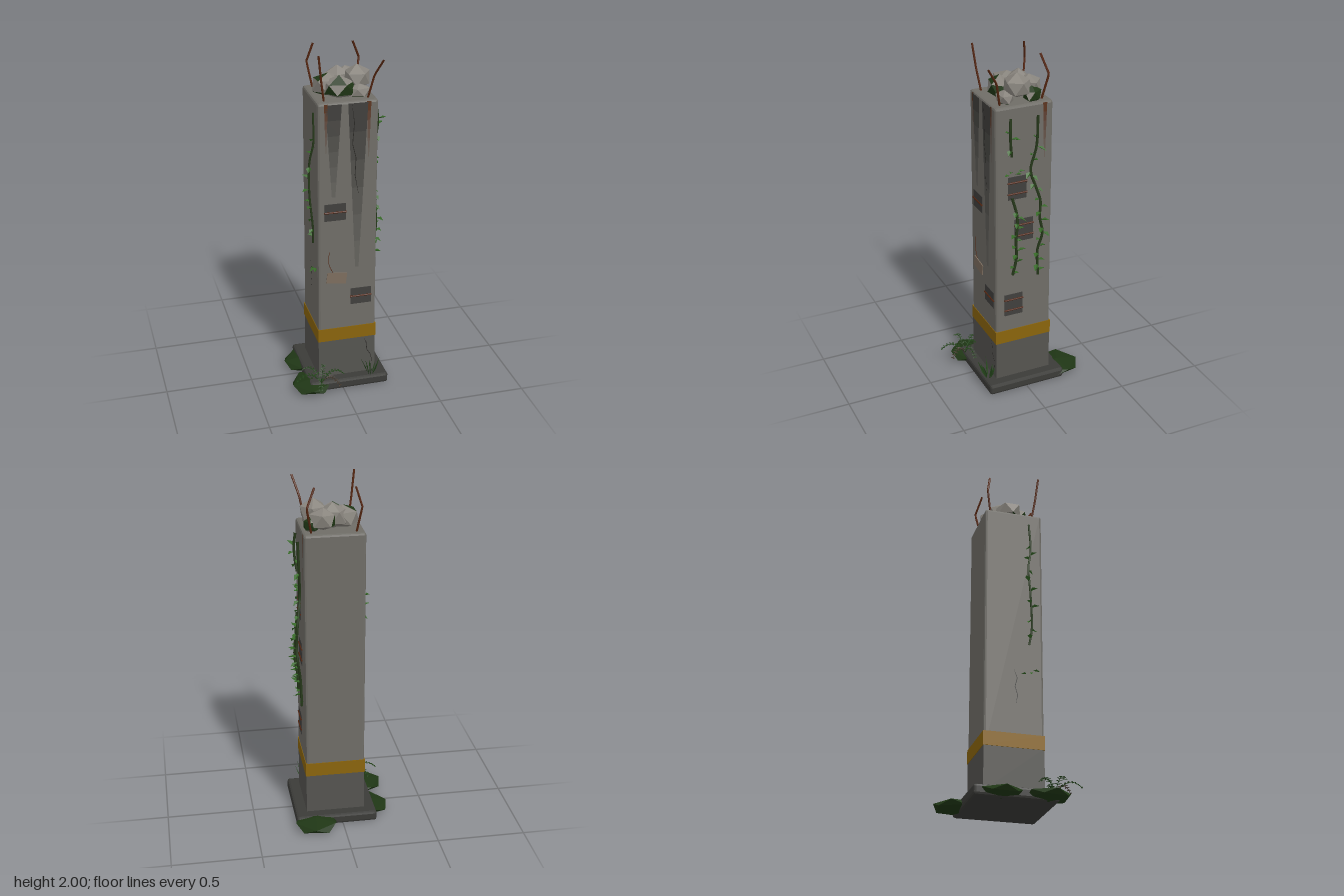
import * as THREE from 'three';
import { mergeGeometries } from 'three/addons/utils/BufferGeometryUtils.js';
import { RoundedBoxGeometry } from 'three/addons/geometries/RoundedBoxGeometry.js';

const V = (x, y, z) => new THREE.Vector3(x, y, z);
const mat = (color, flatShading = true, side = THREE.FrontSide) =>
  new THREE.MeshStandardMaterial({ color, flatShading, side });
const thin = (color) => mat(color, false, THREE.DoubleSide);

const concrete = mat(0x6f6d67), concreteDark = mat(0x555450), slab = mat(0x3b3b38);
const yellow = mat(0x8a640c), rust = mat(0x552611), recess = mat(0x403f3d);
const moss = mat(0x1f3615), stone = mat(0x88847d), crackDark = thin(0x282724);
const stem = mat(0x26381a, false), leafGreen = thin(0x356826);
const fernGreen = thin(0x23431a), fernDry = thin(0x40352a), paper = mat(0x7c6d5e);
const soot = 0x403f3c, rustStain = 0x5c3520;

const CX = 0.035, HALF = 0.168; // shaft centre and half width

let seed = 7;
const rnd = () => (seed = (seed * 16807) % 2147483647) / 2147483647;
const spread = (a) => (rnd() * 2 - 1) * a;

export function createModel() {
  const root = new THREE.Group();
  const add = (name, geo, material, x = 0, y = 0, z = 0, parent = root) => {
    const m = new THREE.Mesh(geo, material);
    m.name = name;
    m.position.set(x, y, z);
    parent.add(m);
    return m;
  };
  const tube = (pts, r, seg = 20, sides = 6) =>
    new THREE.TubeGeometry(new THREE.CatmullRomCurve3(pts), seg, r, sides);

  // Groups whose local +z points out of one face of the shaft
  const face = (name, angle) => {
    const g = new THREE.Group();
    g.name = name;
    g.position.x = CX;
    g.rotation.y = angle;
    root.add(g);
    return g;
  };
  const front = face('frontFace', 0), left = face('leftFace', Math.PI / 2), right = face('rightFace', -Math.PI / 2);

  // Slab, foot, shaft and painted band
  add('baseSlab', new RoundedBoxGeometry(0.467, 0.06, 0.467, 1, 0.014), slab, 0.035, 0.036, -0.001);
  add('shaftFoot', new THREE.BoxGeometry(HALF * 2, 0.26, HALF * 2), concreteDark, CX, 0.18, 0);
  add('shaft', new RoundedBoxGeometry(HALF * 2, 1.44, HALF * 2, 1, 0.013), concrete, CX, 1.02, 0);
  add('paintedBand', new THREE.BoxGeometry(0.342, 0.08, 0.342), yellow, CX, 0.34, 0);

  // Tapering stains that fade into the concrete towards the bottom
  const stain = (parent, color, x, w, tipW, top, bottom) => {
    const steps = 6, row = (i) => {
      const t = i / steps;
      return [THREE.MathUtils.lerp(w, tipW, t), THREE.MathUtils.lerp(top, bottom, t)];
    };
    for (let i = 0; i < steps; i++) {
      const [w0, y0] = row(i), [w1, y1] = row(i + 1);
      const s = new THREE.Shape([[-w0, y0], [-w1, y1], [w1, y1], [w0, y0]].map(([a, b]) => new THREE.Vector2(a, b)));
      const m = thin(color);
      m.color.lerp(concrete.color, (i / steps) * 0.85);
      add('stain', new THREE.ShapeGeometry(s), m, x, 0, HALF + 0.001, parent);
    }
  };
  stain(front, soot, -0.08, 0.045, 0.01, 1.73, 1.2);
  stain(front, soot, 0.055, 0.055, 0.01, 1.73, 0.76);
  stain(front, rustStain, -0.122, 0.01, 0.003, 1.735, 1.46);
  stain(front, rustStain, 0.115, 0.012, 0.003, 1.735, 1.42);
  stain(left, rustStain, 0.12, 0.012, 0.003, 1.735, 1.42);

  // Spalled patches with exposed bars
  const patch = (parent, x, y, w, h, bars) => {
    add('spalledPatch', new THREE.BoxGeometry(w, h, 0.006), recess, x, y, HALF, parent);
    for (const dy of bars) {
      const bar = add('exposedBar', new THREE.CylinderGeometry(0.005, 0.005, w + 0.006, 6), rust, x, y + dy, HALF + 0.004, parent);
      bar.rotation.z = Math.PI / 2;
    }
  };
  patch(front, -0.07, 1.11, 0.12, 0.1, [0]);
  patch(front, 0.08, 0.575, 0.12, 0.1, [0]);
  patch(left, -0.04, 1.27, 0.11, 0.135, [0.033, -0.033]);
  patch(left, 0, 1.01, 0.11, 0.135, [0.033, -0.033]);
  patch(left, -0.06, 0.545, 0.11, 0.135, [0.033, -0.033]);

  // Cracks, as jagged thin ribbons
  const crack = (parent, pts) => {
    const edge = (s) => pts.map(([x, y], i) => new THREE.Vector2(x + s * (i % (pts.length - 1) ? 0.002 : 0.0005), y));
    const shape = new THREE.Shape([...edge(-1), ...edge(1).reverse()]);
    add('crack', new THREE.ShapeGeometry(shape), crackDark, 0, 0, HALF + 0.002, parent);
  };
  crack(front, [[0.02, 1.73], [0.035, 1.62], [0.025, 1.5], [0.045, 1.42], [0.04, 1.32], [0.06, 1.21]]);
  crack(front, [[0.1, 0.29], [0.115, 0.26], [0.12, 0.21], [0.145, 0.17], [0.15, 0.12]]);
  crack(right, [[0, 0.75], [0.018, 0.7], [0.005, 0.65], [0.02, 0.6], [0.01, 0.55]]);

  // Hanging tag on a wire
  add('tagWire', tube([V(-0.105, 0.87, 0.169), V(-0.108, 0.8, 0.172), V(-0.08, 0.73, 0.172)], 0.0015, 10, 5), rust, 0, 0, 0, front);
  const tag = add('tag', new THREE.BoxGeometry(0.115, 0.065, 0.005), paper, -0.063, 0.705, HALF + 0.005, front);
  tag.rotation.z = -0.12;

  // Bent reinforcement bars at the four corners
  const bars = [
    [[-0.085, 1.73, 0.12], [-0.105, 1.86, 0.14], [-0.122, 2, 0.155]],
    [[0.155, 1.73, 0.12], [0.183, 1.87, 0.15], [0.215, 1.97, 0.213]],
    [[-0.085, 1.73, -0.125], [-0.112, 1.88, -0.15], [-0.08, 1.985, -0.13]],
    [[0.155, 1.73, -0.12], [0.183, 1.88, -0.15], [0.138, 1.985, -0.12]],
  ];
  for (const b of bars) {
    const path = new THREE.CurvePath();
    const [p, q, r] = b.map((a) => V(...a));
    path.add(new THREE.LineCurve3(p, q));
    path.add(new THREE.LineCurve3(q, r));
    add('reinforcementBar', new THREE.TubeGeometry(path, 12, 0.006, 6), rust);
  }

  // Coarse faceted boulders, one corner up; some facets of the rubble carry moss
  const boulder = (name, [x, y, z], [sx, sy, sz], mossAmount, turn, rough = 0.1) => {
    const geo = new THREE.IcosahedronGeometry(1, 0);
    geo.rotateX(-1.017).rotateY(turn);
    const p = geo.attributes.position;
    geo.clearGroups();
    for (let i = 0; i < p.count; i++) {
      const k = 1 + rough * Math.sin(5 * p.getX(i) + 3 * p.getZ(i) + 4 * p.getY(i) + turn);
      p.setXYZ(i, p.getX(i) * k * sx, p.getY(i) * k * sy, p.getZ(i) * k * sz);
    }
    for (let i = 0; i < p.count; i += 3) geo.addGroup(i, 3, rnd() < mossAmount ? 1 : 0);
    geo.computeVertexNormals();
    add(name, geo, [stone, moss], x, y, z);
  };
  boulder('rubble', [-0.03, 1.79, -0.005], [0.095, 0.07, 0.08], 0.12, 0.4);
  boulder('rubble', [0.03, 1.805, -0.045], [0.08, 0.075, 0.07], 0.1, 2.3);
  boulder('rubble', [0.085, 1.8, -0.08], [0.08, 0.065, 0.062], 0.15, 1.7);
  boulder('rubble', [0.125, 1.82, 0.008], [0.08, 0.07, 0.078], 0.2, 2.9);
  boulder('rubble', [0.015, 1.785, 0.058], [0.098, 0.065, 0.072], 0.5, 4.1);
  boulder('rubble', [0.145, 1.77, -0.07], [0.052, 0.05, 0.058], 0.7, 5.3);
  boulder('rubble', [0.12, 1.765, 0.075], [0.068, 0.045, 0.055], 0.1, 0.9);
  boulder('mossRock', [0.16, 0.037, -0.24], [0.135, 0.032, 0.137], 1, 0.5, 0.04);
  boulder('mossRock', [-0.165, 0.035, -0.08], [0.132, 0.031, 0.132], 1, 2.2, 0.04);
  boulder('mossRock', [-0.175, 0.035, 0.172], [0.127, 0.031, 0.13], 1, 3.6, 0.04);

  // A folded diamond leaf from a point along a direction
  const leaf = (p, dir, len, width) => {
    const d = dir.clone().normalize();
    const side = new THREE.Vector3().crossVectors(d, Math.abs(d.y) > 0.9 ? V(1, 0, 0) : V(0, 1, 0)).normalize();
    const lift = new THREE.Vector3().crossVectors(side, d).multiplyScalar(width * 0.3);
    const tip = p.clone().addScaledVector(d, len);
    const mid = p.clone().addScaledVector(d, len * 0.45).add(lift);
    const l = mid.clone().addScaledVector(side, width / 2), r = mid.clone().addScaledVector(side, -width / 2);
    const g = new THREE.BufferGeometry().setFromPoints([p, tip, l, p, r, tip]);
    g.computeVertexNormals();
    return g;
  };

  // Climbing vines: points are across, up, out from the face
  const vine = (parent, pts, leaves, r = 0.008) => {
    const curve = new THREE.CatmullRomCurve3(pts.map(([x, y, o]) => V(x, y, HALF + o)));
    add('vineStem', new THREE.TubeGeometry(curve, 36, r, 6), stem, 0, 0, 0, parent);
    const geos = [];
    for (let i = 0; i < leaves; i++) {
      const p = curve.getPointAt(Math.min(1, 0.12 + (0.88 * (i + 0.3 + 0.6 * rnd())) / leaves));
      const dir = V((i % 2 ? 1 : -1) * (0.4 + 0.6 * rnd()), spread(0.7) - 0.1, 0.2 + 0.8 * rnd());
      geos.push(leaf(p, dir, 0.035 + 0.026 * rnd(), 0.03));
    }
    add('vineLeaves', mergeGeometries(geos), leafGreen, 0, 0, 0, parent);
  };
  vine(left, [[-0.085, 1.68, 0.012], [-0.09, 1.6, 0.02], [-0.085, 1.52, 0.015], [-0.075, 1.46, 0.006]], 3);
  vine(left, [[0.07, 1.68, 0.02], [0.066, 1.5, 0.014], [0.035, 1.36, 0.008], [0.06, 1.27, 0.018], [0.085, 1.18, 0.03],
    [0.08, 1.08, 0.035], [0.1, 0.98, 0.03], [0.078, 0.87, 0.015], [0.085, 0.71, 0.01]], 20);
  vine(left, [[-0.075, 1.22, 0.01], [-0.05, 1.1, 0.022], [-0.06, 0.95, 0.028], [-0.05, 0.85, 0.015], [-0.07, 0.74, 0.008]], 12);
  vine(right, [[0.09, 1.67, 0.004], [0.1, 1.5, 0.006], [0.08, 1.38, 0.024], [0.09, 1.2, 0.028], [0.1, 1.0, 0.012],
    [0.085, 0.9, 0.008]], 11, 0.006);
  add('vineLeaves', mergeGeometries([0, 1, 2].map((i) =>
    leaf(V(0.07 + i * 0.02, 0.73 + i * 0.012, HALF), V(i - 1, -0.3, 0.4), 0.04, 0.025))), leafGreen, 0, 0, 0, right);
  add('vineLeaves', mergeGeometries([0, 1, 2, 3].map((i) =>
    leaf(V(-0.085 + i * 0.015, 1.35 + (i % 2) * 0.015, HALF + 0.005), V(i - 1.5, 0.2, 0.5), 0.04, 0.025))), leafGreen, 0, 0, 0, left);

  // Fern with arching fronds and paired leaflets
  const crown = V(-0.13, 0.06, 0.225);
  const fronds = [[-0.215, 0.12], [-0.275, 0.23], [0.0, 0.215], [-0.17, 0.36], [-0.05, 0.338], [-0.105, 0.17]];
  fronds.forEach(([x, z], f) => {
    const mid = V((crown.x + x) / 2, 0.175, (crown.z + z) / 2);
    const curve = new THREE.QuadraticBezierCurve3(crown, mid, V(x, f === 5 ? 0.14 : 0.1, z));
    const geos = [new THREE.TubeGeometry(curve, 12, 0.002, 4).toNonIndexed()];
    geos[0].deleteAttribute('uv');
    for (let i = 1; i <= 7; i++) {
      const t = 0.2 + i * 0.112, tan = curve.getTangentAt(t);
      const side = new THREE.Vector3().crossVectors(tan, V(0, 1, 0)).normalize();
      for (const s of [-1, 1])
        geos.push(leaf(curve.getPointAt(t), side.clone().multiplyScalar(s).addScaledVector(tan, 0.4), 0.026 - i * 0.0016, 0.011));
    }
    add('fernFrond', mergeGeometries(geos), f === 4 ? fernDry : fernGreen);
  });

  // Grass tuft
  const blades = [];
  for (let i = 0; i < 8; i++) {
    const a = i * 2.4;
    blades.push(leaf(V(0.167 + 0.012 * Math.cos(a), 0.06, 0.205 + 0.012 * Math.sin(a)),
      V(0.4 * Math.cos(a), 1, 0.4 * Math.sin(a)), 0.08 + 0.05 * rnd(), 0.014));
  }
  add('grassTuft', mergeGeometries(blades), fernGreen);

  return root;
}
